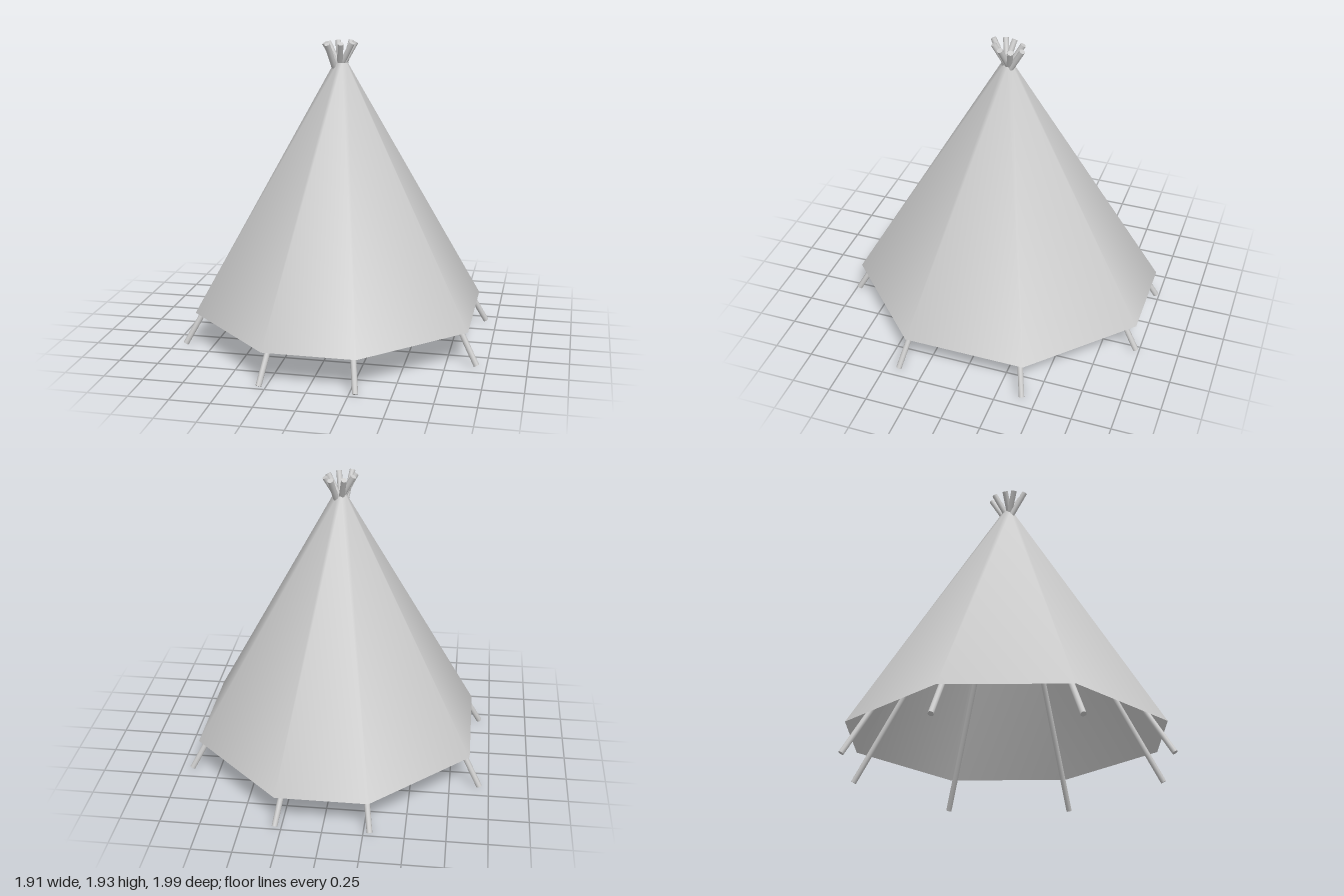
import * as THREE from 'three';

const material = new THREE.MeshStandardMaterial({ color: 0xcccccc });
const clothMaterial = new THREE.MeshStandardMaterial({ color: 0xcccccc, side: THREE.DoubleSide });

// Corners of the cover's hem, [x, z], going round from the back
const hem = [
  [-0.28, -0.97], [0.29, -0.97], [0.88, -0.40], [0.88, 0.38],
  [0.29, 0.95], [-0.28, 0.95], [-0.87, 0.38], [-0.87, -0.39],
];

// Poles: foot [x, z] and tip [x, z]; they cross just under the tips
const poles = [
  [[-0.29, -0.98], [0.02, 0.08]], [[0.29, -0.98], [-0.06, 0.11]],
  [[0.93, -0.41], [-0.09, 0.04]], [[0.94, 0.41], [-0.08, -0.02]],
  [[0.29, 0.98], [-0.03, -0.09]], [[-0.29, 0.98], [0.05, -0.11]],
  [[-0.93, 0.41], [0.09, -0.05]], [[-0.94, -0.41], [0.08, 0.02]],
];

// Open eight-sided cover, lofted from the hem to a small smoke hole
function makeCover() {
  const positions = [], index = [], n = hem.length;
  for (const [x, z] of hem) positions.push(x, 0.21, z);
  for (const [x, z] of hem) positions.push(x * 0.045 + 0.005, 1.8, z * 0.04);
  for (let i = 0; i < n; i++) {
    const j = (i + 1) % n;
    index.push(j, i, n + i, j, n + i, n + j);
  }
  const geometry = new THREE.BufferGeometry();
  geometry.setAttribute('position', new THREE.Float32BufferAttribute(positions, 3));
  geometry.setIndex(index);
  geometry.computeVertexNormals();
  const mesh = new THREE.Mesh(geometry, clothMaterial);
  mesh.name = 'cover';
  return mesh;
}

// Straight round pole between two points
function makePole(from, to, radius) {
  const direction = to.clone().sub(from);
  const mesh = new THREE.Mesh(new THREE.CylinderGeometry(radius, radius, direction.length(), 10), material);
  mesh.position.copy(from).add(to).multiplyScalar(0.5);
  mesh.quaternion.setFromUnitVectors(new THREE.Vector3(0, 1, 0), direction.normalize());
  mesh.name = 'pole';
  return mesh;
}

export function createModel() {
  const model = new THREE.Group();
  model.name = 'tent';
  model.add(makeCover());

  const frame = new THREE.Group();
  frame.name = 'poleFrame';
  for (const [foot, tip] of poles) {
    frame.add(makePole(
      new THREE.Vector3(foot[0], 0.01, foot[1]),
      new THREE.Vector3(tip[0], 1.925, tip[1]),
      0.018,
    ));
  }
  model.add(frame);
  return model;
}
